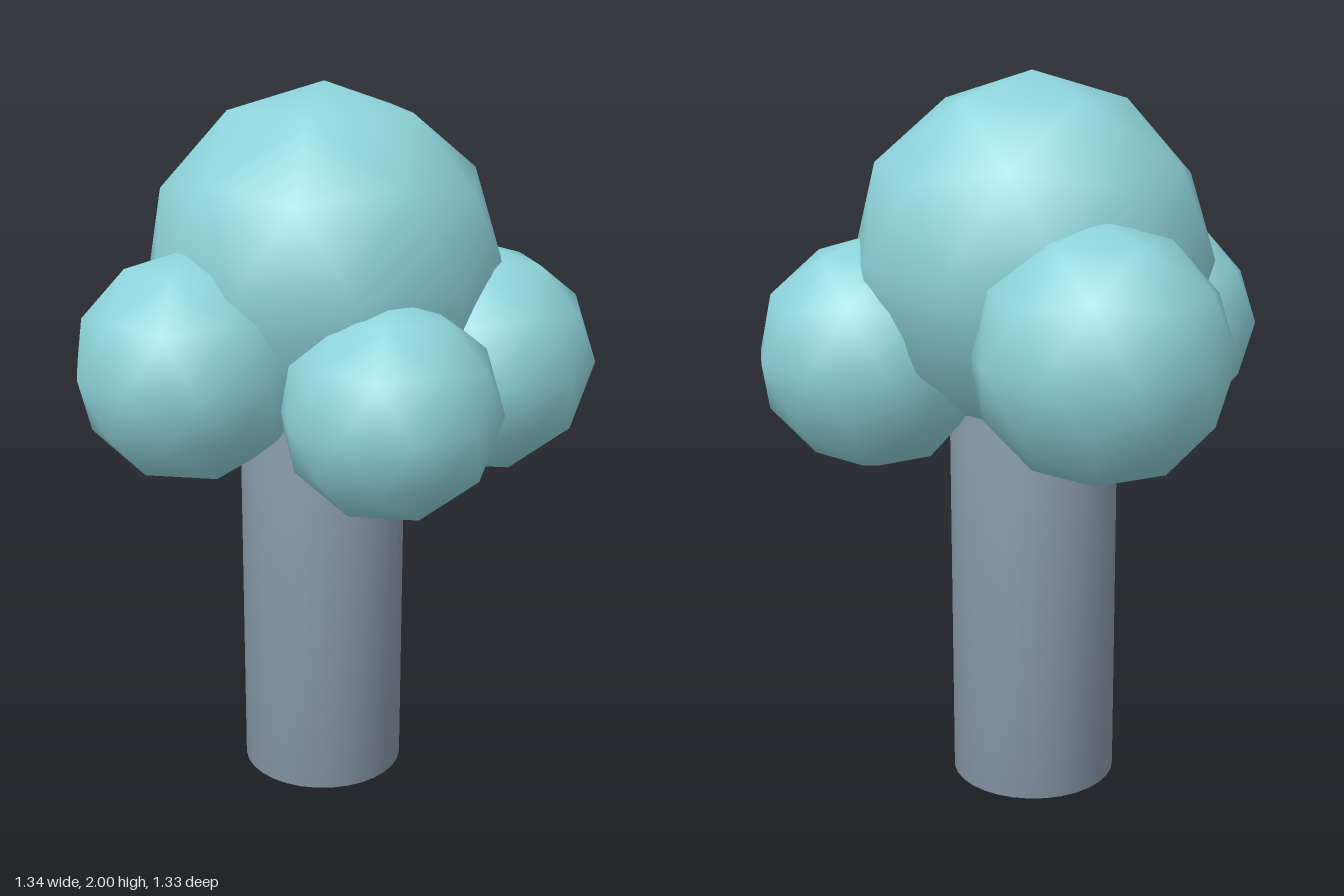
import * as THREE from 'three';
import { mergeVertices } from 'three/addons/utils/BufferGeometryUtils.js';

export function createModel() {
  const tree = new THREE.Group();
  tree.name = 'tree';

  const foliage = new THREE.MeshStandardMaterial({ color: 0x8fd4dc });
  foliage.name = 'pale teal foliage';
  const bark = new THREE.MeshStandardMaterial({ color: 0x8799a9 });
  bark.name = 'blue grey bark';

  // Trunk: normals run smoothly over the rims
  let trunkGeometry = new THREE.CylinderGeometry(0.235, 0.235, 1.2, 32);
  trunkGeometry.deleteAttribute('uv');
  trunkGeometry.deleteAttribute('normal');
  trunkGeometry = mergeVertices(trunkGeometry);
  trunkGeometry.computeVertexNormals();
  const trunk = new THREE.Mesh(trunkGeometry, bark);
  trunk.name = 'trunk';
  trunk.position.set(-0.03, 0.6, -0.036);
  tree.add(trunk);

  // Leaf balls: smooth icospheres, turned so that a corner points straight up
  const ball = new THREE.IcosahedronGeometry(1, 1);
  ball.rotateZ(-Math.atan(2 / (1 + Math.sqrt(5))));
  const balls = [
    ['crown', -0.027, 1.504, -0.04, 0.496],
    ['backRightLeafBall', -0.355, 1.31, -0.33, 0.336],
    ['backLeftLeafBall', 0.36, 1.242, -0.237, 0.325],
    ['frontRightLeafBall', -0.223, 1.284, 0.35, 0.311],
    ['frontLeftLeafBall', 0.3, 1.2, 0.225, 0.294],
  ];
  for (const [name, x, y, z, radius] of balls) {
    const mesh = new THREE.Mesh(ball, foliage);
    mesh.name = name;
    mesh.position.set(x, y, z);
    mesh.scale.setScalar(radius);
    tree.add(mesh);
  }
  return tree;
}
